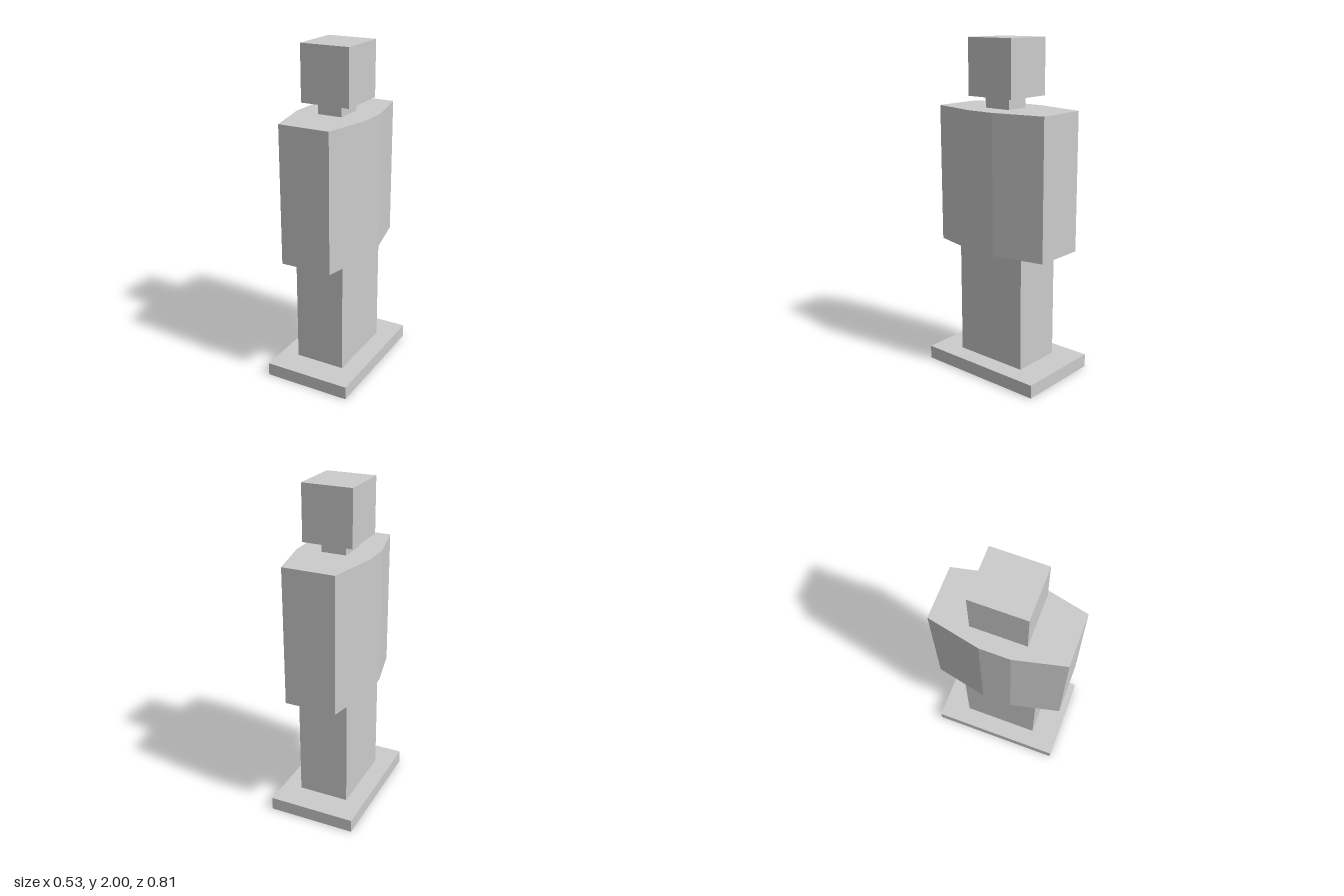
import * as THREE from 'three';

const material = new THREE.MeshStandardMaterial({ color: 0xcccccc, flatShading: true });

export function createModel() {
  const group = new THREE.Group();

  const add = (name, geometry) => {
    const mesh = new THREE.Mesh(geometry, material);
    mesh.name = name;
    group.add(mesh);
    return mesh;
  };

  // Box given by its extents along each axis
  const block = (name, [x0, x1], [y0, y1], [z0, z1]) =>
    add(name, new THREE.BoxGeometry(x1 - x0, y1 - y0, z1 - z0))
      .position.set((x0 + x1) / 2, (y0 + y1) / 2, (z0 + z1) / 2);

  block('base', [-0.267, 0.267], [0, 0.08], [-0.407, 0.407]);
  block('legs', [-0.157, 0.153], [0.08, 0.775], [-0.235, 0.238]);
  block('neck', [-0.078, 0.072], [1.6, 1.67], [-0.075, 0.1]);
  block('head', [-0.152, 0.15], [1.67, 2], [-0.157, 0.161]);

  // Torso: eight-sided plan, widest at the middle, extruded downwards from the shoulders
  const plan = new THREE.Shape([
    [0.154, 0.39], [-0.157, 0.39], [-0.225, 0.095], [-0.225, -0.082],
    [-0.158, -0.393], [0.156, -0.393], [0.223, -0.082], [0.223, 0.095],
  ].map(([x, z]) => new THREE.Vector2(x, z)));
  const torso = new THREE.ExtrudeGeometry(plan, { depth: 0.825, bevelEnabled: false });
  torso.rotateX(Math.PI / 2);
  add('torso', torso).position.y = 1.6;

  return group;
}
